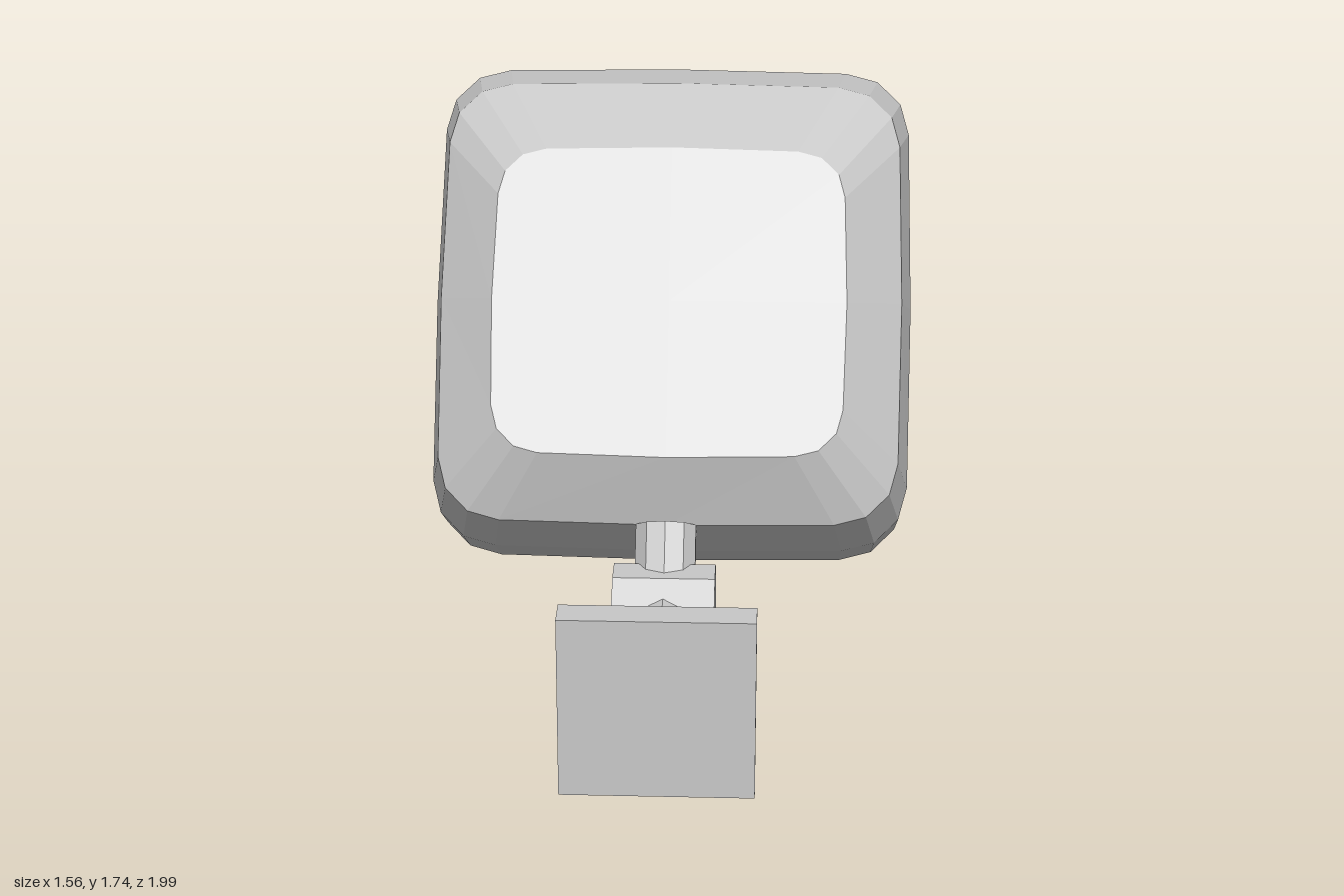
import * as THREE from 'three';

const grey = new THREE.MeshStandardMaterial({ color: 0xc8c8c8 });
grey.name = 'light grey';

// faceted mesh with hard edges
function part(name, geometry, x = 0, y = 0, z = 0) {
  const g = geometry.index ? geometry.toNonIndexed() : geometry;
  g.computeVertexNormals();
  const mesh = new THREE.Mesh(g, grey);
  mesh.name = name;
  mesh.position.set(x, y, z);
  return mesh;
}

// rounded rectangle outline with slightly bowed sides, counter-clockwise
function outline(hx, hy, r) {
  const bow = 0.009, pts = [];
  const mids = [[0, hy], [-hx, 0], [0, -hy], [hx, 0]];
  const signs = [[1, 1], [-1, 1], [-1, -1], [1, -1]];
  signs.forEach(([sx, sy], q) => {
    for (let k = 0; k <= 3; k++) {
      const a = (q + k / 3) * Math.PI / 2;
      pts.push([
        sx * (hx - bow - r) + r * Math.cos(a),
        sy * (hy - bow - r) + r * Math.sin(a),
      ]);
    }
    pts.push(mids[q]);
  });
  return pts;
}

// closed shell through cross-sections: [z, centre y, half width, half height, corner radius]
function loft(sections) {
  const rings = sections.map(([z, cy, hx, hy, r]) =>
    outline(hx, hy, r).map(([x, y]) => [x, y + cy, z]));
  const pos = [], n = rings[0].length, last = rings.length - 1;
  const tri = (a, b, c) => pos.push(...a, ...b, ...c);
  const back = [0, sections[0][1], sections[0][0]];
  const front = [0, sections[last][1], sections[last][0]];
  for (let j = 0; j < n; j++) {
    const k = (j + 1) % n;
    for (let i = 0; i < last; i++) {
      tri(rings[i][j], rings[i][k], rings[i + 1][k]);
      tri(rings[i][j], rings[i + 1][k], rings[i + 1][j]);
    }
    tri(back, rings[0][k], rings[0][j]);
    tri(front, rings[last][j], rings[last][k]);
  }
  const g = new THREE.BufferGeometry();
  g.setAttribute('position', new THREE.Float32BufferAttribute(pos, 3));
  return g;
}

export function createModel() {
  const model = new THREE.Group();
  model.name = 'wallLamp';

  // square wall plate and horizontal arm
  model.add(part('wallPlate', new THREE.BoxGeometry(0.59, 0.59, 0.1), 0, 0.295, 0.95));
  const arm = new THREE.CylinderGeometry(0.115, 0.115, 0.5, 10).rotateX(-Math.PI / 2);
  model.add(part('arm', arm, 0, 0.295, 0.65));

  // pivot drum lying across the arm
  const pivot = new THREE.CylinderGeometry(0.165, 0.165, 0.32, 10).rotateZ(Math.PI / 2);
  model.add(part('pivot', pivot, 0, 0.295, 0.395));

  // tilted head: local y runs along the head, local z out of its face
  const head = new THREE.Group();
  head.name = 'head';
  head.rotation.x = -35 * Math.PI / 180;
  model.add(head);

  head.add(part('neck', new THREE.CylinderGeometry(0.1, 0.1, 0.29, 10), 0, 0.156, 0.493));
  head.add(part('housing', loft([
    [0.103, 1.066, 0.775, 0.815, 0.21],
    [0.282, 1.069, 0.78, 0.815, 0.21],
    [0.525, 1.028, 0.74, 0.73, 0.2],
    [0.703, 0.985, 0.56, 0.502, 0.15],
  ])));

  // raised cover and cooling fins on the back
  head.add(part('backCover', new THREE.BoxGeometry(1.38, 0.665, 0.04), 0, 1.483, 0.096));
  for (let i = -4; i <= 4; i++) {
    head.add(part('coolingFin', new THREE.BoxGeometry(0.07, 0.728, 0.07), i * 0.147, 0.71, 0.08));
  }
  return model;
}
